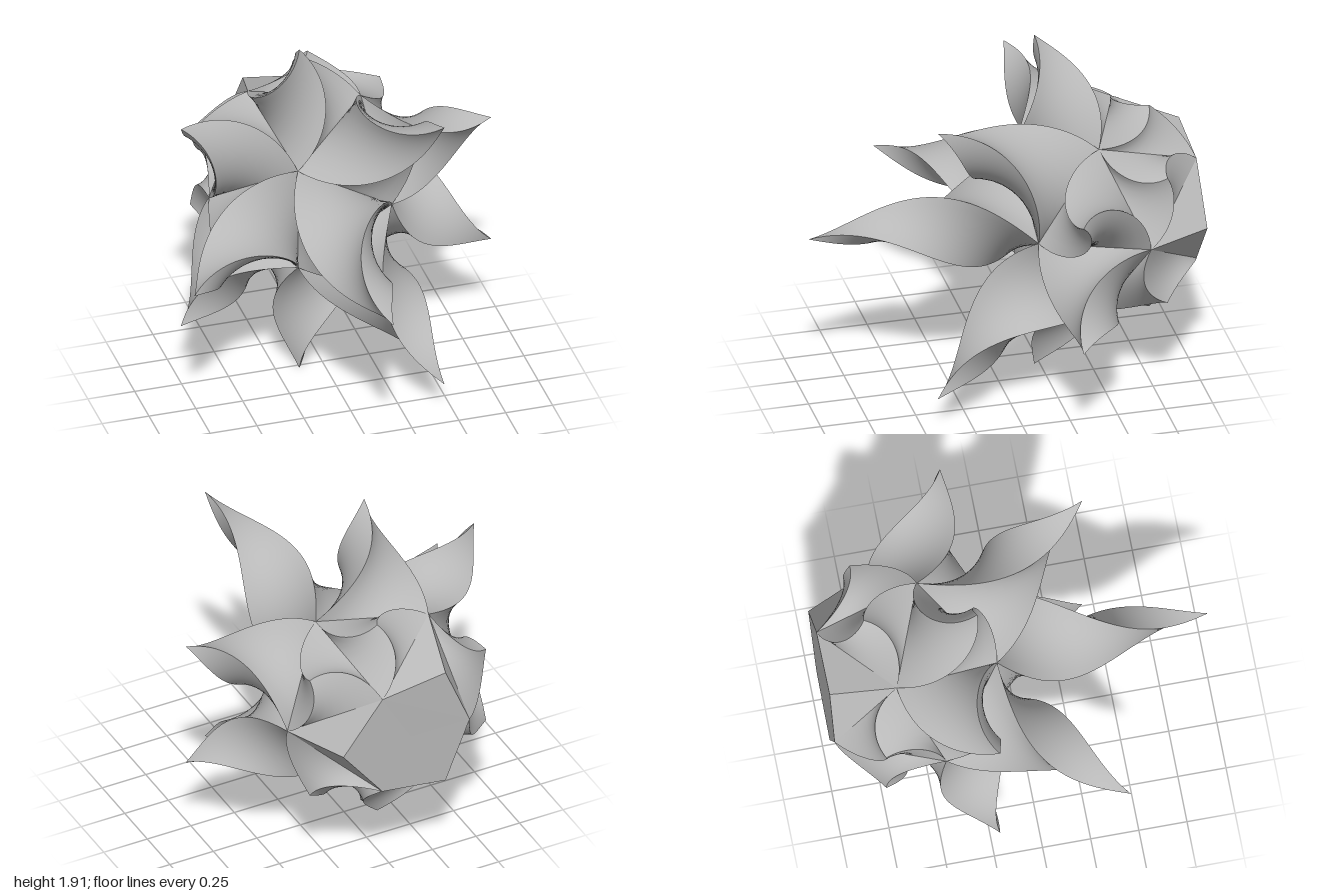
import * as THREE from 'three';
import { mergeGeometries } from 'three/addons/utils/BufferGeometryUtils.js';

const CORE_RADIUS = 0.55;
const CENTRE = new THREE.Vector3(0, 0.96, -0.563);

// Tip distance from the core centre and twist (degrees) for each ring of faces, front to back
const RINGS = [
  { name: 'frontSpike', tip: 1.563, twist: 176 },
  { name: 'innerSpike', tip: 1.335, twist: 142 },
  { name: 'outerSpike', tip: 1.023, twist: 106 },
  { name: 'shortSpike', tip: 0.626, twist: 60 },
  { name: 'backFacet', tip: 0.5866, twist: 0 },
  { name: 'base', tip: 0.437, twist: 0 },
];
const RING_COSINES = [1, 0.745, 0.333, -0.333, -0.745, -1];

// Icosahedron corners with a three-fold axis along z
function coreCorners() {
  const corners = [];
  const levels = [[0.607, 0.795, 0], [0.982, 0.188, 60], [0.982, -0.188, 0], [0.607, -0.795, 60]];
  for (const [r, z, start] of levels) {
    for (let k = 0; k < 3; k++) {
      const a = THREE.MathUtils.degToRad(start + 120 * k);
      corners.push(new THREE.Vector3(r * Math.cos(a), r * Math.sin(a), z).multiplyScalar(CORE_RADIUS));
    }
  }
  return corners;
}

// All triangles of neighbouring corners, wound outward
function coreFaces(corners) {
  const near = (a, b) => a.distanceTo(b) < CORE_RADIUS * 1.2;
  const faces = [];
  for (let i = 0; i < 12; i++) for (let j = i + 1; j < 12; j++) for (let k = j + 1; k < 12; k++) {
    const [a, b, c] = [corners[i], corners[j], corners[k]];
    if (!near(a, b) || !near(b, c) || !near(a, c)) continue;
    const cross = b.clone().sub(a).cross(c.clone().sub(a));
    faces.push(cross.dot(a) > 0 ? [a, b, c] : [a, c, b]);
  }
  return faces;
}

// Three-sided spike whose cross-section shrinks and turns towards the tip
function spikeGeometry(face, normal, tip, twist) {
  const middle = face[0].clone().add(face[1]).add(face[2]).divideScalar(3);
  const height = tip - middle.length();
  const rows = twist ? 40 : 1;
  const cols = twist ? 8 : 1;
  const edgePoint = (corner, t) => corner.clone().sub(middle)
    .applyAxisAngle(normal, twist * t).multiplyScalar(1 - t)
    .add(middle).addScaledVector(normal, height * t);
  const sides = face.map((corner, s) => {
    const next = face[(s + 1) % 3];
    const pos = [], index = [];
    for (let r = 0; r <= rows; r++) {
      const a = edgePoint(corner, r / rows), b = edgePoint(next, r / rows);
      for (let c = 0; c <= cols; c++) pos.push(...a.clone().lerp(b, c / cols).toArray());
    }
    for (let r = 0; r < rows; r++) for (let c = 0; c < cols; c++) {
      const p = r * (cols + 1) + c, q = p + cols + 1;
      index.push(p, p + 1, q);
      if (r < rows - 1) index.push(p + 1, q + 1, q);
    }
    const side = new THREE.BufferGeometry();
    side.setAttribute('position', new THREE.Float32BufferAttribute(pos, 3));
    side.setIndex(index);
    side.computeVertexNormals();
    return side;
  });
  return mergeGeometries(sides);
}

export function createModel() {
  const model = new THREE.Group();
  model.name = 'twistedStar';
  const grey = new THREE.MeshStandardMaterial({ color: 0xb8b8b8, side: THREE.DoubleSide });
  grey.name = 'grey';

  // One spike on each face of the core
  for (const face of coreFaces(coreCorners())) {
    const normal = face[0].clone().add(face[1]).add(face[2]).normalize();
    const ring = RINGS[RING_COSINES.findIndex((c) => Math.abs(c - normal.z) < 0.05)];
    const twist = THREE.MathUtils.degToRad(ring.twist);
    const spike = new THREE.Mesh(spikeGeometry(face, normal, ring.tip, twist), grey);
    spike.name = ring.name;
    spike.position.copy(CENTRE);
    model.add(spike);
  }
  return model;
}
